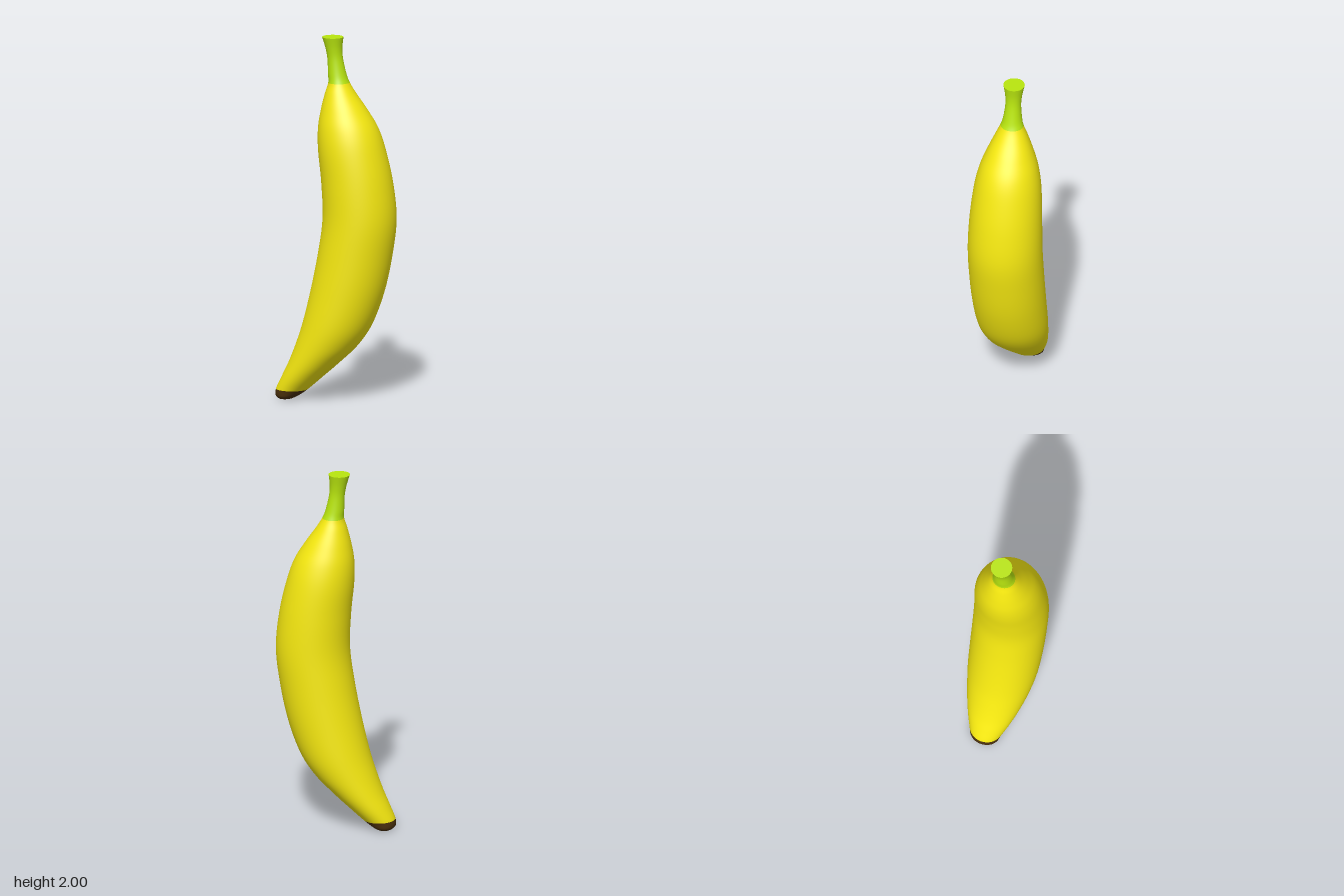
import * as THREE from 'three';

// Horizontal sections: height, left edge, right edge, half depth
const SECTIONS = [
  [0.00, -0.318, -0.235, 0.062],
  [0.015, -0.332, -0.205, 0.080],
  [0.05, -0.330, -0.155, 0.092],
  [0.12, -0.298, -0.075, 0.122],
  [0.20, -0.260, 0.015, 0.150],
  [0.30, -0.221, 0.118, 0.175],
  [0.42, -0.182, 0.198, 0.192],
  [0.60, -0.138, 0.265, 0.200],
  [0.80, -0.098, 0.308, 0.203],
  [1.00, -0.071, 0.331, 0.203],
  [1.20, -0.078, 0.312, 0.197],
  [1.38, -0.096, 0.272, 0.183],
  [1.50, -0.097, 0.231, 0.160],
  [1.60, -0.082, 0.172, 0.125],
  [1.69, -0.060, 0.110, 0.088],
  [1.75, -0.042, 0.074, 0.063],
  [1.80, -0.044, 0.056, 0.051],
  [1.88, -0.047, 0.038, 0.043],
  [1.94, -0.058, 0.034, 0.047],
  [2.00, -0.076, 0.040, 0.058],
];
const SIDES = 64;
const STEPS = 6; // rings per section interval

// One smooth curve per measured quantity, all sharing the same parameter
const curves = [1, 2, 3].map((k) => new THREE.SplineCurve(
  SECTIONS.map((s) => new THREE.Vector2(s[0], s[k]))));

function ringAt(index) {
  const t = index / (SECTIONS.length - 1);
  const [left, right, depth] = curves.map((c) => c.getPoint(t));
  const ring = [];
  for (let i = 0; i < SIDES; i++) {
    const a = (i / SIDES) * Math.PI * 2;
    ring.push(new THREE.Vector3(
      (left.y + right.y) / 2 + Math.cos(a) * (right.y - left.y) / 2,
      left.x,
      Math.sin(a) * depth.y));
  }
  return ring;
}

function toGeometry(points, index) {
  const geometry = new THREE.BufferGeometry().setFromPoints(points);
  geometry.setIndex(index);
  geometry.computeVertexNormals();
  return geometry;
}

// Skin between two section numbers
function skin(from, to) {
  const points = [], index = [];
  const rows = (to - from) * STEPS;
  for (let r = 0; r <= rows; r++) points.push(...ringAt(from + r / STEPS));
  for (let r = 0; r < rows; r++) {
    for (let i = 0; i < SIDES; i++) {
      const a = r * SIDES + i, b = r * SIDES + (i + 1) % SIDES;
      index.push(a, a + SIDES, b, b, a + SIDES, b + SIDES);
    }
  }
  return toGeometry(points, index);
}

// Flat end disc on one section
function cap(section, up) {
  const ring = ringAt(section), index = [];
  for (let i = 1; i < SIDES - 1; i++) index.push(0, ...(up ? [i + 1, i] : [i, i + 1]));
  return toGeometry(ring, index);
}

export function createModel() {
  const group = new THREE.Group();
  const brown = new THREE.MeshStandardMaterial({ color: 0x4a300c });
  const yellow = new THREE.MeshStandardMaterial({ color: 0xf7ea10 });
  const green = new THREE.MeshStandardMaterial({ color: 0xb9e60f });
  const add = (name, geometry, material) => {
    const mesh = new THREE.Mesh(geometry, material);
    mesh.name = name;
    group.add(mesh);
  };

  const last = SECTIONS.length - 1;
  // Dark blossom end
  add('tip', skin(0, 2), brown);
  add('tipEnd', cap(0, false), brown);
  // Curved fruit
  add('peel', skin(2, 15), yellow);
  // Flared stalk
  add('stem', skin(15, last), green);
  add('stemEnd', cap(last, true), green);
  return group;
}
